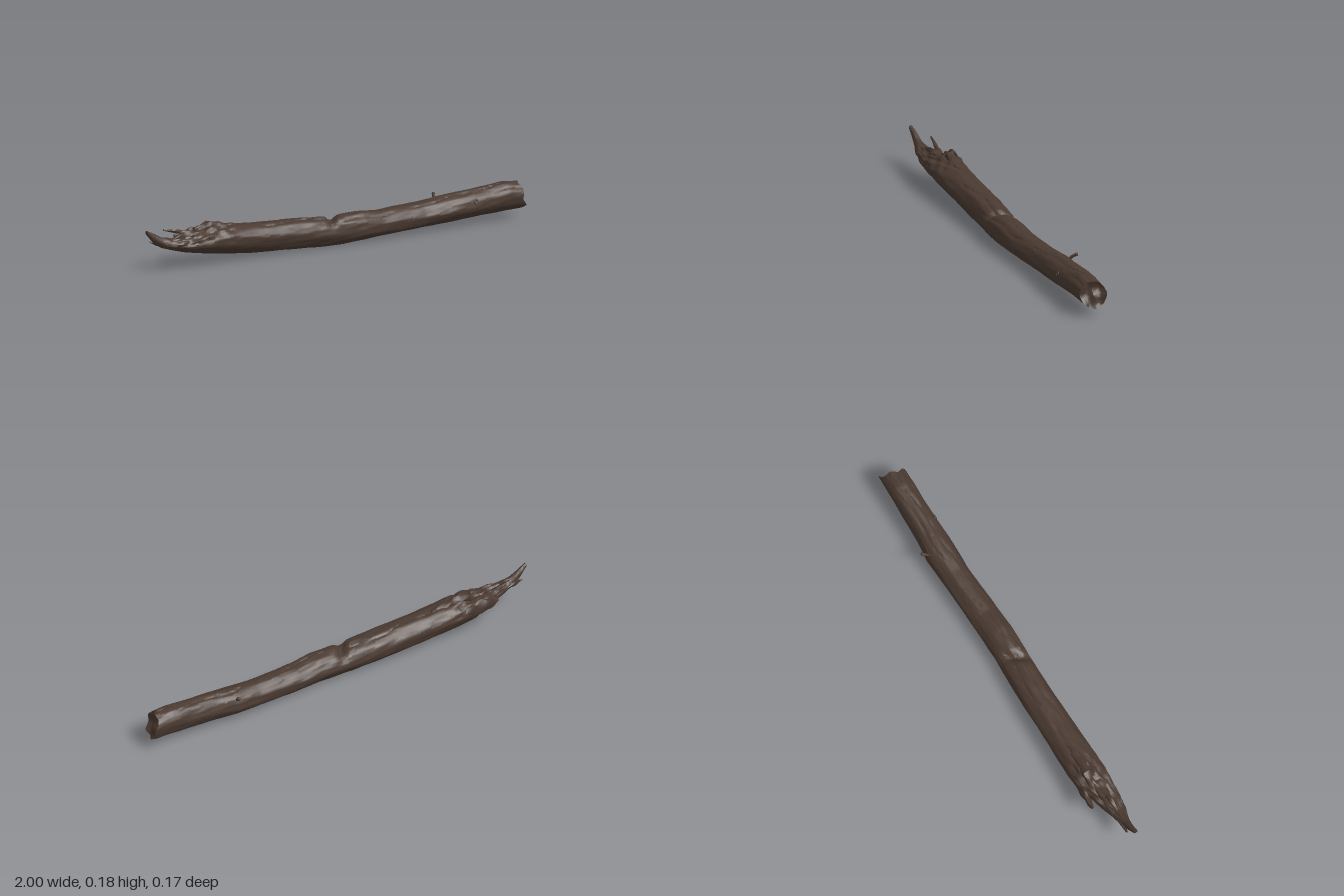
import * as THREE from 'three';
import { toCreasedNormals } from 'three/addons/utils/BufferGeometryUtils.js';

const { lerp, smoothstep } = THREE.MathUtils;

// Log sections: x, bottom y, top y, back z, front z
const LOG = [
  [-1.0, 0.172, 0.19, -0.003, 0.014], [-0.96, 0.13, 0.172, -0.012, 0.016],
  [-0.92, 0.104, 0.15, -0.016, 0.022], [-0.86, 0.086, 0.136, -0.03, 0.036],
  [-0.8, 0.07, 0.136, -0.045, 0.052], [-0.74, 0.06, 0.148, -0.06, 0.058],
  [-0.69, 0.05, 0.158, -0.084, 0.064], [-0.6, 0.038, 0.162, -0.086, 0.066],
  [-0.4, 0.021, 0.15, -0.077, 0.066], [-0.2, 0.01, 0.143, -0.07, 0.07],
  [-0.06, 0.006, 0.134, -0.06, 0.077], [0.03, 0.006, 0.135, -0.053, 0.081],
  [0.12, 0.01, 0.137, -0.052, 0.084], [0.22, 0.014, 0.126, -0.054, 0.079],
  [0.45, 0.019, 0.132, -0.057, 0.068], [0.57, 0.024, 0.143, -0.062, 0.073],
  [0.66, 0.03, 0.15, -0.051, 0.074], [0.8, 0.037, 0.16, -0.045, 0.072],
  [0.9, 0.042, 0.168, -0.04, 0.075], [0.98, 0.043, 0.162, -0.036, 0.076],
];

function sectionAt(rows, x) {
  let i = 0;
  while (i < rows.length - 2 && x > rows[i + 1][0]) i++;
  const t = (x - rows[i][0]) / (rows[i + 1][0] - rows[i][0]);
  return rows[i].map((v, k) => lerp(v, rows[i + 1][k], t));
}

// Lofts closed rings along x; warp(point, angle, capScale) roughens each vertex
function loft(rows, steps, sides, warp) {
  const x0 = rows[0][0], x1 = rows[rows.length - 1][0];
  const rings = [[x0, 0], [x0, 0.5]];
  for (let i = 0; i <= steps; i++) rings.push([lerp(x0, x1, i / steps), 1]);
  for (const s of [0.88, 0.7, 0.5, 0.25, 0]) rings.push([x1, s]);
  const pos = [], index = [], p = new THREE.Vector3();
  rings.forEach(([x, s], i) => {
    const [, yb, yt, zb, zf] = sectionAt(rows, x);
    for (let j = 0; j < sides; j++) {
      const a = (j / sides) * Math.PI * 2;
      p.set(x, (yb + yt) / 2 + Math.cos(a) * s * (yt - yb) / 2, (zb + zf) / 2 + Math.sin(a) * s * (zf - zb) / 2);
      if (warp) warp(p, a, s, (yb + yt) / 2, (zb + zf) / 2);
      pos.push(p.x, p.y, p.z);
      if (i === rings.length - 1) continue;
      const k = i * sides + j, n = i * sides + (j + 1) % sides;
      index.push(k, n, k + sides, n, n + sides, k + sides);
    }
  });
  const g = new THREE.BufferGeometry();
  g.setAttribute('position', new THREE.Float32BufferAttribute(pos, 3));
  g.setIndex(index);
  return toCreasedNormals(g, 0.75);
}

// Long bark ridges, a notch across the top, and broken wood at both ends
function weather(p, a, s, cy, cz) {
  const x = p.x;
  const up = Math.max(0, Math.cos(a));
  const torn = smoothstep(-x, 0.5, 0.68) * (1 - smoothstep(-x, 0.84, 0.95));
  let d = 0.025 * Math.sin(3 * a + 4 * x) + 0.018 * Math.sin(7 * a - 9 * x + 1)
    + 0.016 * Math.sin(13 * a + 11 * x + 2 * Math.sin(6 * x)) * Math.sin(9 * x + 2 * a)
    + 0.012 * Math.sin(5 * a + 37 * x) * Math.sin(17 * x);
  d -= 0.07 * Math.pow(Math.max(0, Math.sin(9 * a + 7 * x + Math.sin(23 * x))), 6) * up;
  d += torn * up * (0.1 * Math.sin(11 * a + 31 * x) + 0.08 * Math.sin(6 * a - 67 * x));
  const crack = (x + 0.022 + 0.03 * Math.sin(a)) / 0.022;
  d -= 0.42 * Math.exp(-crack * crack) * up * up;
  p.y = cy + (p.y - cy) * (1 + d);
  p.z = cz + (p.z - cz) * (1 + d);
  const end = smoothstep(x, 0.86, 0.98);
  p.x -= end * (0.27 * (p.z - 0.02) + 0.24 * (p.y - 0.1));
  if (x > 0.97) {
    p.x += 0.005 * Math.sin(90 * p.y + 40 * p.z) + 0.004 * Math.sin(130 * p.z) - 0.012 * (1 - s) * s * 4;
  }
  p.y = Math.max(p.y, 0);
}

// Thin broken slivers at the torn end, same columns as the log sections
const SPLINTERS = {
  curledSplinter: [[-0.88, 0.168, 0.176, -0.04, -0.034], [-0.84, 0.156, 0.172, -0.038, -0.026],
    [-0.79, 0.146, 0.162, -0.034, -0.014], [-0.72, 0.12, 0.152, -0.034, -0.002]],
  backSplinter: [[-0.79, 0.12, 0.134, -0.088, -0.076], [-0.76, 0.104, 0.15, -0.093, -0.07],
    [-0.71, 0.084, 0.152, -0.09, -0.062], [-0.6, 0.08, 0.14, -0.084, -0.04]],
  raisedBark: [[-0.72, 0.15, 0.162, -0.044, -0.026], [-0.68, 0.14, 0.172, -0.048, -0.014],
    [-0.65, 0.135, 0.186, -0.046, -0.006], [-0.61, 0.135, 0.176, -0.04, 0.006], [-0.48, 0.135, 0.153, -0.03, 0.0]],
  middleSplinter: [[-0.86, 0.132, 0.14, -0.004, 0.006], [-0.8, 0.122, 0.158, -0.012, 0.012],
    [-0.7, 0.12, 0.155, -0.02, 0.02]],
  frontSplinter: [[-0.91, 0.112, 0.122, 0.02, 0.028], [-0.86, 0.098, 0.13, 0.018, 0.042],
    [-0.76, 0.08, 0.125, 0.02, 0.056]],
  tipFork: [[-0.965, 0.128, 0.136, -0.022, -0.014], [-0.93, 0.112, 0.135, -0.022, -0.004],
    [-0.85, 0.095, 0.13, -0.026, 0.01]],
};

export function createModel() {
  const model = new THREE.Group();
  model.name = 'fallenBranch';
  const bark = new THREE.MeshStandardMaterial({ color: 0x4a3a31 });
  bark.name = 'dark brown bark';

  const add = (name, geometry) => {
    const mesh = new THREE.Mesh(geometry, bark);
    mesh.name = name;
    model.add(mesh);
    return mesh;
  };

  add('log', loft(LOG, 260, 56, weather));

  for (const [name, rows] of Object.entries(SPLINTERS)) {
    add(name, loft(rows, 14, 9, (p, a, s, cy, cz) => {
      const d = 1 + 0.14 * Math.sin(3 * a + 70 * p.x) + 0.1 * Math.sin(113 * p.x);
      p.y = cy + (p.y - cy) * d;
      p.z = cz + (p.z - cz) * d;
    }));
  }

  // Short twig stub on the upper back
  const path = new THREE.CatmullRomCurve3([[0.575, 0.1, -0.035], [0.578, 0.126, -0.056], [0.588, 0.138, -0.074]]
    .map((v) => new THREE.Vector3(...v)));
  add('twigStub', new THREE.TubeGeometry(path, 6, 0.007, 7));
  const tip = add('twigTip', new THREE.IcosahedronGeometry(0.008, 1));
  tip.position.copy(path.getPoint(1));

  // Small knot on the front
  const knot = add('knot', new THREE.TorusGeometry(0.009, 0.004, 6, 14));
  knot.position.set(0.71, 0.112, 0.069);
  knot.rotation.x = -0.25;
  return model;
}
